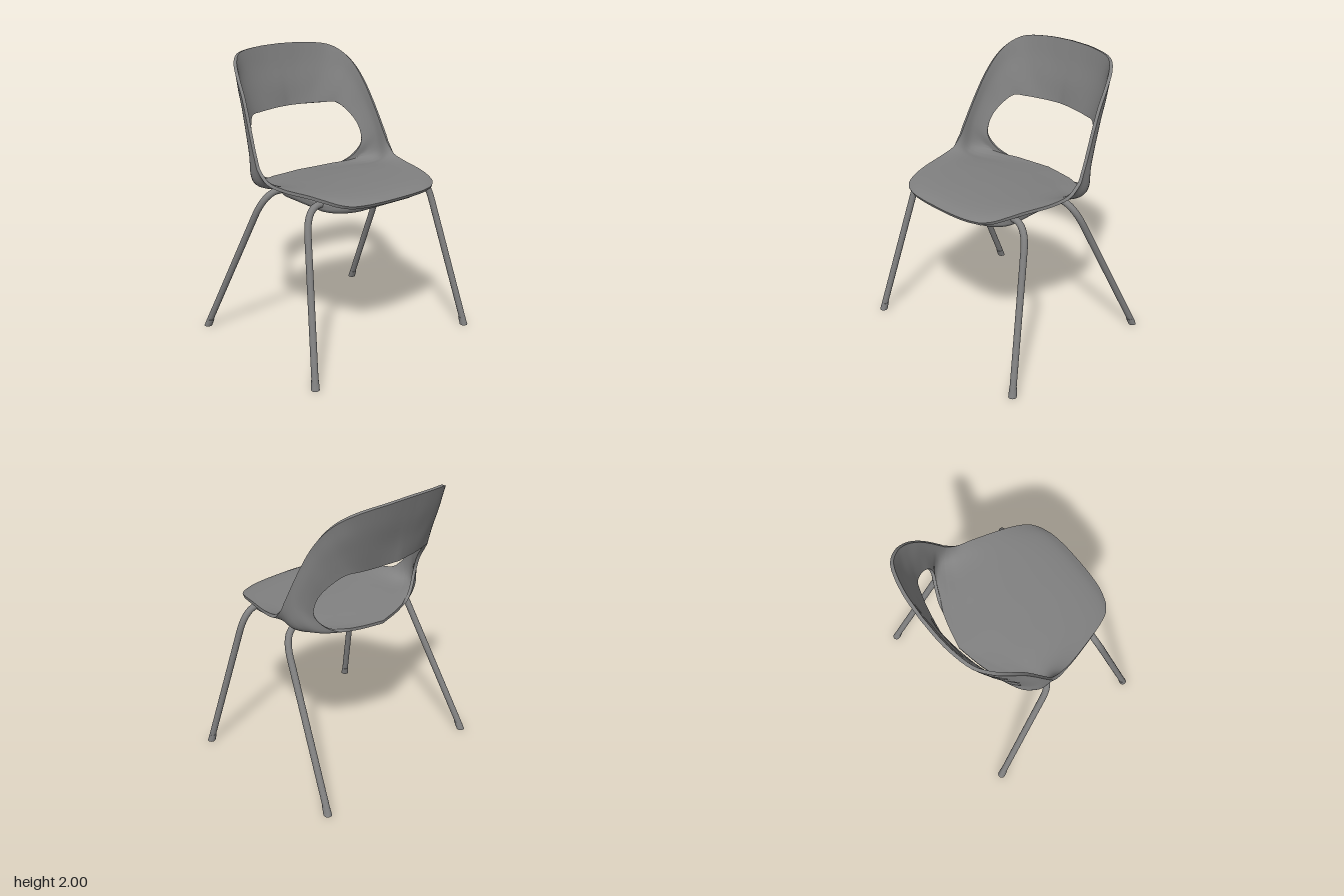
import * as THREE from 'three';
import { toCreasedNormals } from 'three/addons/utils/BufferGeometryUtils.js';

const material = new THREE.MeshStandardMaterial({ color: 0x808080 });
const V = (x, y, z) => new THREE.Vector3(x, y, z);

// Half-shell stations: four points each, from the centre line (or opening edge) to the outer rim
const seatRows = [
  [V(0, 1.11, 0.615), V(0.13, 1.11, 0.612), V(0.26, 1.11, 0.597), V(0.36, 1.11, 0.563)],
  [V(0, 1.131, 0.56), V(0.16, 1.131, 0.557), V(0.31, 1.128, 0.543), V(0.422, 1.122, 0.51)],
  [V(0, 1.143, 0.48), V(0.18, 1.143, 0.478), V(0.35, 1.141, 0.465), V(0.464, 1.137, 0.43)],
  [V(0, 1.149, 0.34), V(0.2, 1.149, 0.34), V(0.38, 1.15, 0.335), V(0.502, 1.15, 0.32)],
  [V(0, 1.142, 0.1), V(0.22, 1.142, 0.1), V(0.43, 1.147, 0.11), V(0.56, 1.162, 0.11)],
  [V(0, 1.122, -0.12), V(0.25, 1.124, -0.1), V(0.48, 1.134, -0.05), V(0.583, 1.187, -0.01)],
  [V(0, 1.1, -0.3), V(0.28, 1.108, -0.21), V(0.526, 1.133, -0.11), V(0.592, 1.235, -0.065)],
  [V(0, 1.083, -0.425), V(0.32, 1.103, -0.275), V(0.55, 1.143, -0.15), V(0.594, 1.27, -0.095)],
];
const backRows = [
  seatRows[7],
  [V(0.2, 1.092, -0.383), V(0.4, 1.113, -0.288), V(0.561, 1.158, -0.17), V(0.593, 1.295, -0.107)],
  [V(0.335, 1.11, -0.34), V(0.47, 1.131, -0.275), V(0.569, 1.183, -0.185), V(0.591, 1.325, -0.12)],
  [V(0.425, 1.157, -0.303), V(0.515, 1.175, -0.26), V(0.573, 1.232, -0.195), V(0.587, 1.37, -0.142)],
  [V(0.49, 1.25, -0.275), V(0.535, 1.285, -0.245), V(0.569, 1.35, -0.21), V(0.578, 1.46, -0.183)],
  [V(0.49, 1.37, -0.305), V(0.526, 1.425, -0.285), V(0.553, 1.5, -0.266), V(0.563, 1.58, -0.24)],
  [V(0.455, 1.47, -0.375), V(0.498, 1.55, -0.355), V(0.528, 1.63, -0.335), V(0.545, 1.71, -0.31)],
  [V(0.385, 1.545, -0.448), V(0.445, 1.65, -0.437), V(0.492, 1.75, -0.425), V(0.522, 1.83, -0.4)],
  [V(0.3, 1.55, -0.478), V(0.375, 1.69, -0.491), V(0.435, 1.81, -0.497), V(0.48, 1.912, -0.485)],
  [V(0.21, 1.552, -0.501), V(0.28, 1.7, -0.528), V(0.345, 1.84, -0.55), V(0.4, 1.963, -0.56)],
  [V(0.1, 1.555, -0.521), V(0.135, 1.7, -0.548), V(0.175, 1.85, -0.585), V(0.21, 1.987, -0.611)],
  [V(0, 1.555, -0.535), V(0, 1.7, -0.556), V(0, 1.85, -0.592), V(0, 1.994, -0.624)],
];

// Smooth rows along each rim, then smooth points across each row
function loft(rows, perRow, across) {
  const rails = [0, 1, 2, 3].map((k) => new THREE.CatmullRomCurve3(rows.map((r) => r[k])));
  const n = (rows.length - 1) * perRow;
  return Array.from({ length: n + 1 }, (_, i) =>
    new THREE.CatmullRomCurve3(rails.map((c) => c.getPoint(i / n))).getPoints(across));
}

function shellGeometry(thickness) {
  const across = 15, w = across + 1;
  const grid = [...loft(seatRows, 5, across), ...loft(backRows, 5, across).slice(1)];
  const rows = grid.length, mid = grid.flat();
  const index = [];
  for (let i = 0; i < rows - 1; i++) {
    for (let j = 0; j < across; j++) {
      const a = i * w + j, b = a + 1, c = a + w, d = c + 1;
      index.push(a, b, c, b, d, c);
    }
  }
  const sheet = new THREE.BufferGeometry().setFromPoints(mid);
  sheet.setIndex(index);
  sheet.computeVertexNormals();

  // Offset both ways along the normals for the two faces
  const top = [], bottom = [];
  mid.forEach((p, i) => {
    const n = V().fromBufferAttribute(sheet.attributes.normal, i);
    if (Math.abs(p.x) < 1e-5) { p.x = 0; n.x = 0; n.normalize(); }
    top.push(p.clone().addScaledVector(n, thickness / 2));
    bottom.push(p.clone().addScaledVector(n, -thickness / 2));
  });

  // Each triangle is added with its mirror image
  const out = [];
  const tri = (a, b, c) => {
    out.push(a, b, c, ...[a, c, b].map((p) => V(-p.x, p.y, p.z)));
  };
  for (let k = 0; k < index.length; k += 3) {
    const [a, b, c] = index.slice(k, k + 3);
    tri(top[a], top[b], top[c]);
    tri(bottom[a], bottom[c], bottom[b]);
  }
  // Rim walls: front edge, outer edge and the edge of the opening
  const wall = (a, b) => {
    tri(top[a], bottom[a], bottom[b]);
    tri(top[a], bottom[b], top[b]);
  };
  for (let j = 0; j < across; j++) wall(j, j + 1);
  for (let i = 0; i < rows - 1; i++) {
    wall(i * w + across, (i + 1) * w + across);
    if (mid[i * w].x > 0 || mid[(i + 1) * w].x > 0) wall((i + 1) * w, i * w);
  }
  return toCreasedNormals(new THREE.BufferGeometry().setFromPoints(out), 0.9);
}

// Tapered pan with soft edges and a slightly crowned underside (shape y is -z)
function panGeometry() {
  const s = new THREE.Shape();
  s.moveTo(-0.22, -0.475);
  s.lineTo(0.22, -0.475);
  s.quadraticCurveTo(0.395, -0.465, 0.403, -0.33);
  s.lineTo(0.35, 0.08);
  s.quadraticCurveTo(0.33, 0.21, 0.2, 0.215);
  s.lineTo(-0.2, 0.215);
  s.quadraticCurveTo(-0.33, 0.21, -0.35, 0.08);
  s.lineTo(-0.403, -0.33);
  s.quadraticCurveTo(-0.395, -0.465, -0.22, -0.475);
  const g = new THREE.ExtrudeGeometry(s, {
    depth: 0.01, bevelThickness: 0.035, bevelSize: 0.035, bevelSegments: 6, curveSegments: 10,
  });
  g.rotateX(-Math.PI / 2);
  const p = g.attributes.position;
  for (let i = 0; i < p.count; i++) {
    if (p.getY(i) < 0) p.setY(i, p.getY(i) * (1.45 - 2.2 * p.getX(i) ** 2));
  }
  return toCreasedNormals(g, 0.8);
}

// Bent tube leg with a glide at its foot
function makeLeg(side, name, bendX, topZ, kneeX, kneeZ, footZ) {
  const leg = new THREE.Group();
  leg.name = name;
  const start = V(side * 0.33, 1.1, topZ), bend = V(side * bendX, 1.1, topZ);
  const knee = V(side * kneeX, 0.93, kneeZ), foot = V(side * 0.711, 0.01, footZ);
  const dir = foot.clone().sub(knee).normalize();
  const corner = knee.clone().addScaledVector(dir, -0.168);
  const path = new THREE.CurvePath();
  path.add(new THREE.LineCurve3(start, bend));
  path.add(new THREE.QuadraticBezierCurve3(bend, corner, knee));
  path.add(new THREE.LineCurve3(knee, foot));
  const tube = new THREE.Mesh(new THREE.TubeGeometry(path, 64, 0.023, 14), material);
  tube.name = 'legTube';

  const g = new THREE.CylinderGeometry(0.025, 0.028, 0.055, 16);
  const p = g.attributes.position;
  for (let i = 0; i < p.count; i++) { // lean with the leg, flat on the floor
    const y = p.getY(i) + 0.0275;
    p.setXYZ(i, p.getX(i) + foot.x + (dir.x / dir.y) * y, y, p.getZ(i) + foot.z + (dir.z / dir.y) * y);
  }
  g.computeVertexNormals();
  const glide = new THREE.Mesh(g, material);
  glide.name = 'footGlide';
  leg.add(tube, glide);
  return leg;
}

export function createModel() {
  const chair = new THREE.Group();
  chair.name = 'chair';

  const shell = new THREE.Mesh(shellGeometry(0.022), material);
  shell.name = 'seatAndBackShell';
  const pan = new THREE.Mesh(panGeometry(), material);
  pan.name = 'underSeatPan';
  pan.position.y = 1.072;
  pan.rotation.x = -0.03;
  chair.add(shell, pan);

  for (const [side, label] of [[1, 'Left'], [-1, 'Right']]) {
    chair.add(makeLeg(side, 'front' + label + 'Leg', 0.45, 0.345, 0.571, 0.383, 0.612));
    chair.add(makeLeg(side, 'rear' + label + 'Leg', 0.475, -0.075, 0.59, -0.155, -0.612));
  }
  return chair;
}
